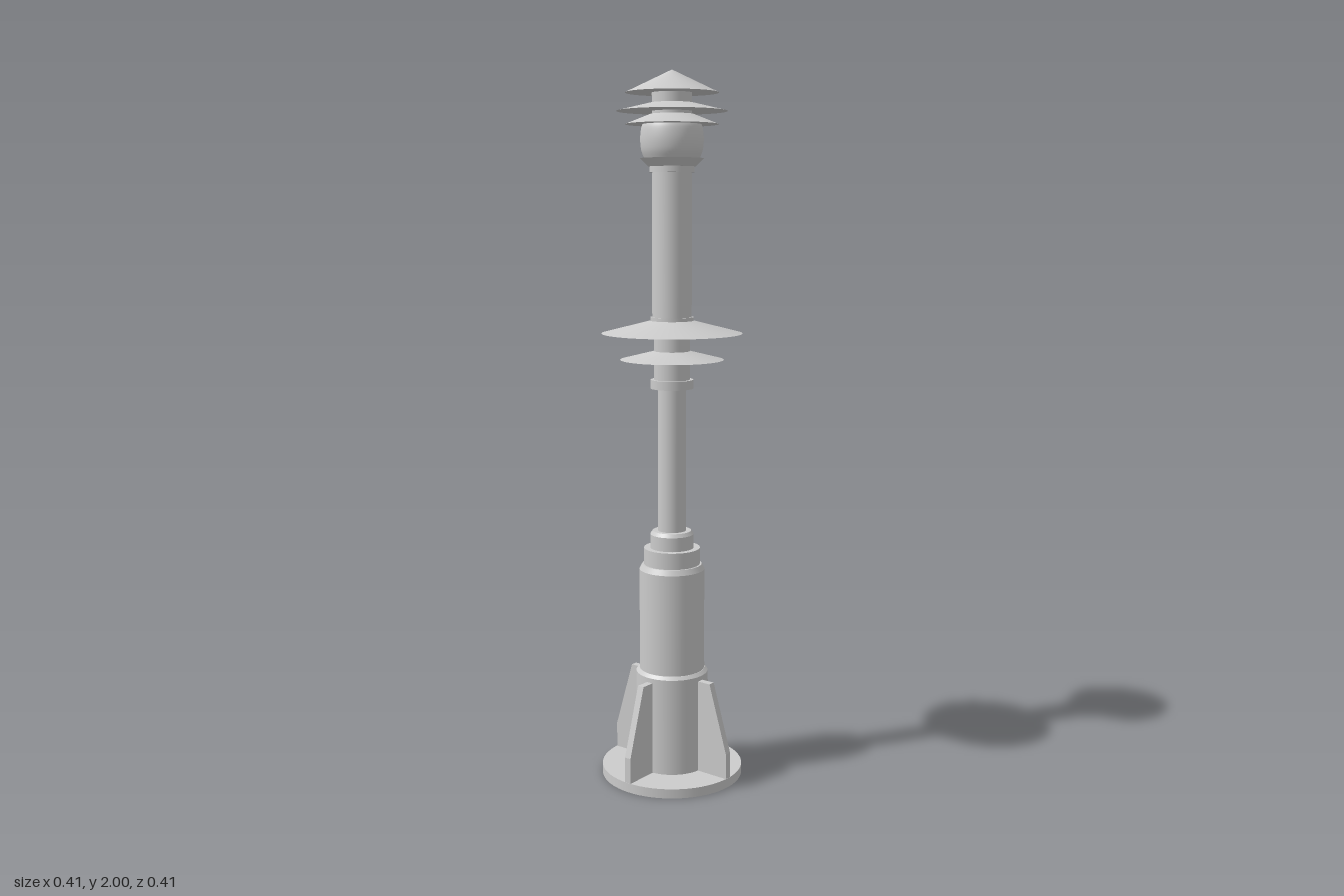
import * as THREE from 'three';

const material = new THREE.MeshStandardMaterial({ color: 0xcccccc });
const SIDES = 64;

export function createModel() {
  const model = new THREE.Group();
  model.name = 'lampPost';

  const add = (name, geometry, parent = model) => {
    const mesh = new THREE.Mesh(geometry, material);
    mesh.name = name;
    parent.add(mesh);
    return mesh;
  };

  // Upright round section from y0 to y1, optionally tapering
  const section = (name, y0, y1, rBottom, rTop = rBottom) => {
    const mesh = add(name, new THREE.CylinderGeometry(rTop, rBottom, y1 - y0, SIDES));
    mesh.position.y = (y0 + y1) / 2;
  };

  // Base and stepped pedestal
  section('basePlate', 0, 0.027, 0.203);
  section('lowerSleeve', 0.027, 0.308, 0.103);
  section('lowerSleeveBevel', 0.308, 0.317, 0.103, 0.094);
  section('pedestal', 0.317, 0.61, 0.093);
  section('pedestalBevel', 0.61, 0.625, 0.093, 0.085);
  section('lowerCollar', 0.625, 0.672, 0.08);
  section('upperCollar', 0.672, 0.712, 0.062);
  section('upperCollarBevel', 0.712, 0.722, 0.062, 0.055);

  // Four tapered buttress fins around the sleeve
  const finShape = new THREE.Shape([
    [0.09, 0.027], [0.202, 0.027], [0.202, 0.1], [0.143, 0.295], [0.09, 0.295],
  ].map(([x, y]) => new THREE.Vector2(x, y)));
  const finGeometry = new THREE.ExtrudeGeometry(finShape, { depth: 0.02, bevelEnabled: false });
  finGeometry.translate(0, 0, -0.01);
  for (let i = 0; i < 4; i++) {
    add('buttressFin', finGeometry).rotation.y = i * Math.PI / 2;
  }

  // Slim pole and middle discs
  section('pole', 0.722, 1.13, 0.04);
  section('poleRing', 1.13, 1.155, 0.06);
  section('middleTube', 1.155, 1.31, 0.05);
  section('smallDisc', 1.211, 1.235, 0.145, 0.05);
  section('largeDisc', 1.285, 1.32, 0.197, 0.06);
  section('largeDiscCollar', 1.318, 1.33, 0.06);

  // Upper column and flared cup
  section('upperColumn', 1.33, 1.73, 0.055);
  section('cupRing', 1.726, 1.742, 0.062);
  section('lampCup', 1.742, 1.764, 0.065, 0.088);

  // Bulging lamp globe
  const globeProfile = new THREE.SplineCurve([
    [0.075, 1.762], [0.084, 1.785], [0.087, 1.815], [0.084, 1.845], [0.078, 1.86],
  ].map(([x, y]) => new THREE.Vector2(x, y))).getPoints(16);
  add('lampGlobe', new THREE.LatheGeometry(globeProfile, SIDES));

  // Tiered roof
  section('lowerRoofTier', 1.855, 1.882, 0.128, 0.06);
  section('lowerRoofNeck', 1.88, 1.895, 0.055);
  section('middleRoofTier', 1.89, 1.912, 0.152, 0.06);
  section('upperRoofNeck', 1.91, 1.94, 0.055);
  section('roofCone', 1.939, 2, 0.128, 0);

  return model;
}
